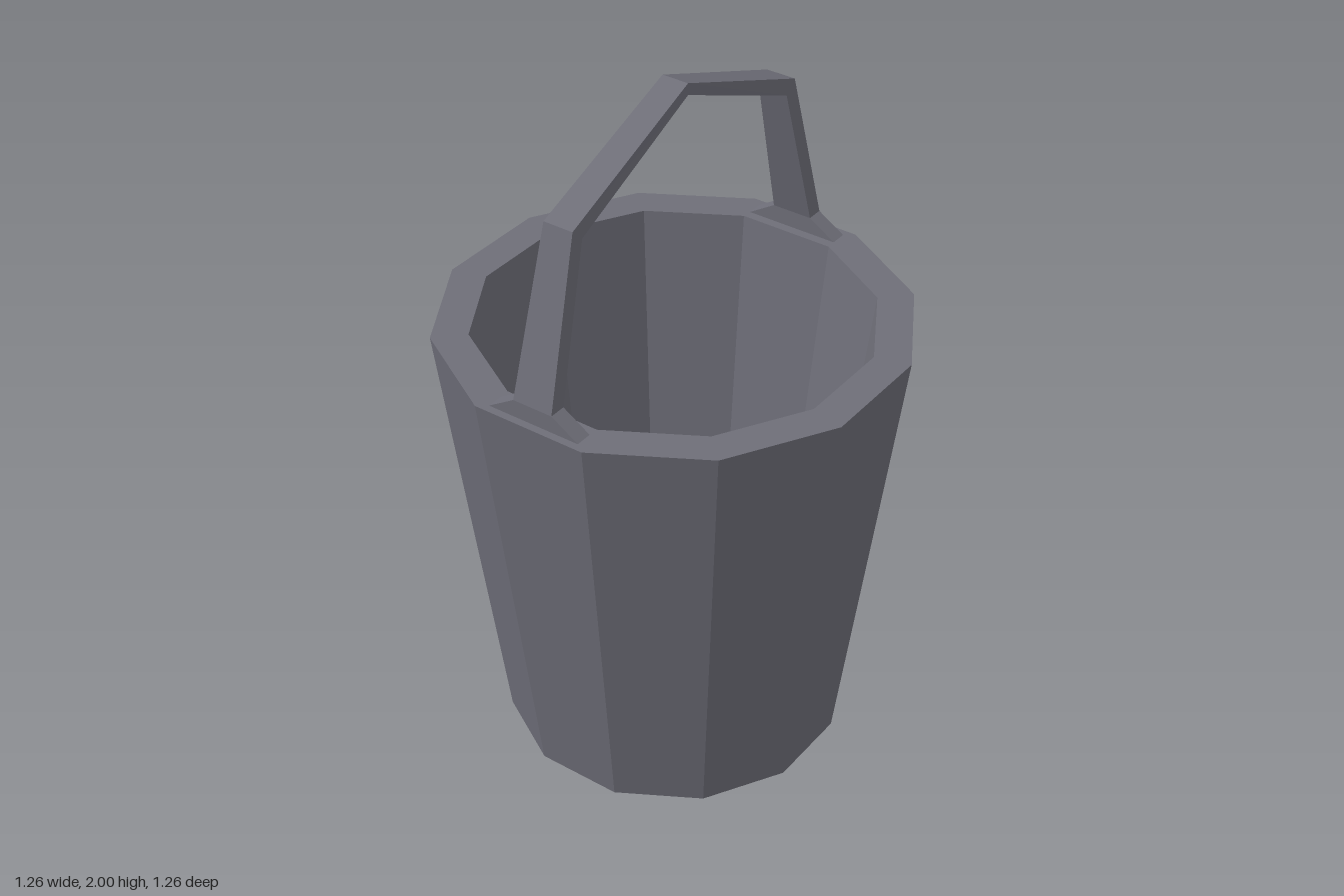
import * as THREE from 'three';

const steel = new THREE.MeshStandardMaterial({ color: 0x6e6e78, flatShading: true });
steel.name = 'grey steel';

// Twelve-sided tapered shell: outside wall, flat rim, inside wall and floor
function makePail() {
  const profile = [[0, 0], [0.482, 0], [0.648, 1.3], [0.547, 1.3], [0.403, 0.13], [0, 0.13]];
  const geometry = new THREE.LatheGeometry(
    profile.map(([r, y]) => new THREE.Vector2(r, y)), 12, Math.PI / 12);
  const pail = new THREE.Mesh(geometry, steel);
  pail.name = 'pail';
  return pail;
}

// Angular bail: rectangular cross-sections swept over the pail, with flared feet
function makeHandle() {
  // half width, outer z, outer y, inner z, inner y
  const half = [
    [0.14, 0.604, 1.3, 0.556, 1.3],
    [0.06, 0.604, 1.35, 0.556, 1.35],
    [0.044, 0.48, 1.81, 0.443, 1.775],
  ];
  const mirrored = half.map(([w, oz, oy, iz, iy]) => [w, -oz, oy, -iz, iy]).reverse();
  const sections = [...half, [0.039, 0, 2, 0, 1.967], ...mirrored];

  const positions = [];
  const index = [];
  sections.forEach(([w, oz, oy, iz, iy], s) => {
    positions.push(-w, oy, oz, w, oy, oz, w, iy, iz, -w, iy, iz);
    if (s === 0) return;
    for (let k = 0; k < 4; k++) {
      const a = (s - 1) * 4 + k;
      const b = (s - 1) * 4 + (k + 1) % 4;
      index.push(a, b, b + 4, a, b + 4, a + 4);
    }
  });
  const end = (sections.length - 1) * 4;
  index.push(0, 2, 1, 0, 3, 2, end, end + 1, end + 2, end, end + 2, end + 3);

  const indexed = new THREE.BufferGeometry();
  indexed.setAttribute('position', new THREE.Float32BufferAttribute(positions, 3));
  indexed.setIndex(index);
  const geometry = indexed.toNonIndexed();
  geometry.computeVertexNormals();
  const handle = new THREE.Mesh(geometry, steel);
  handle.name = 'handle';
  return handle;
}

export function createModel() {
  const bucket = new THREE.Group();
  bucket.name = 'bucket';
  bucket.add(makePail(), makeHandle());
  bucket.rotation.y = THREE.MathUtils.degToRad(-0.9); // slight twist about the axis
  const model = new THREE.Group();
  model.add(bucket);
  return model;
}
